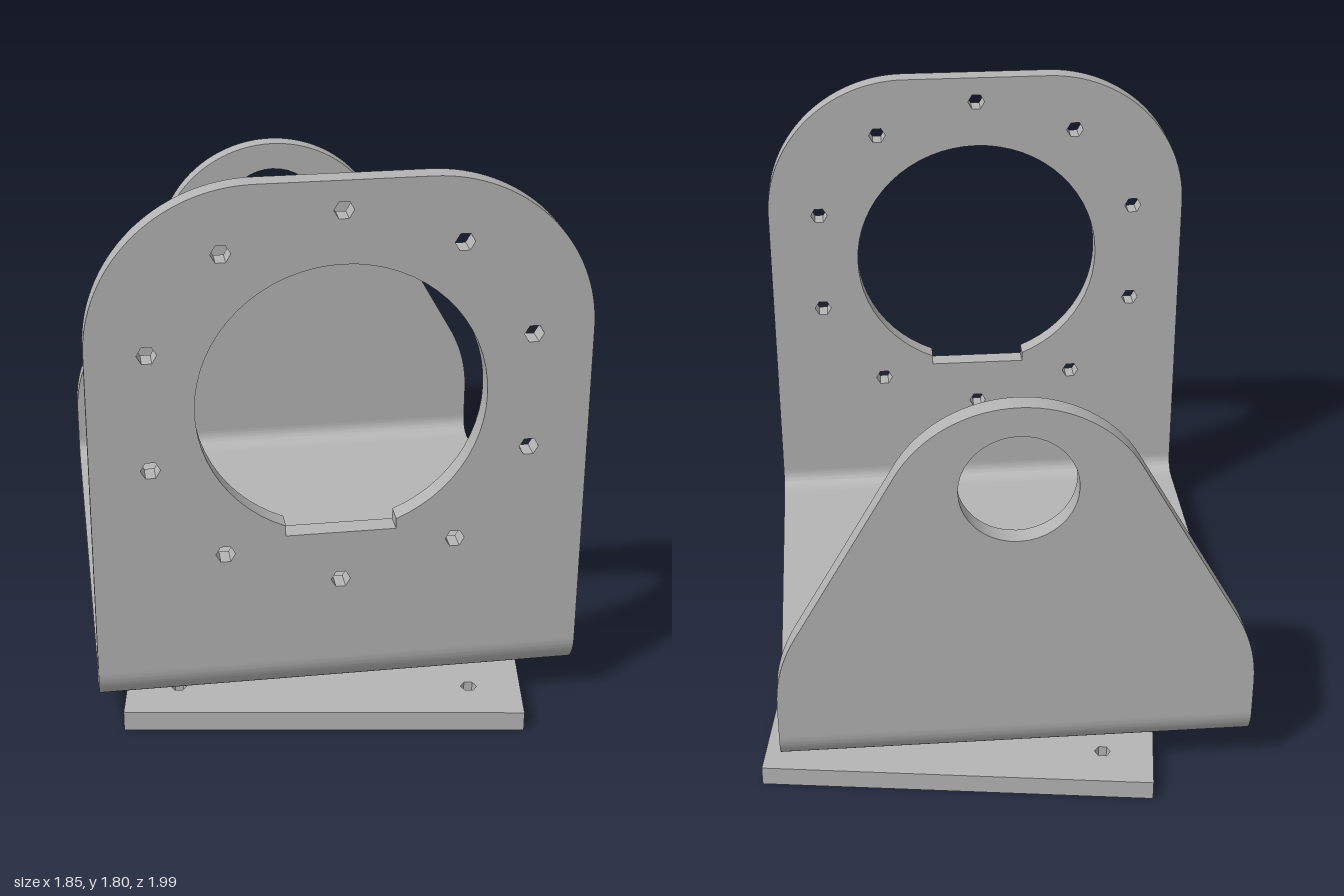
import * as THREE from 'three';
import { toCreasedNormals } from 'three/addons/utils/BufferGeometryUtils.js';

const W = 1.516, D = 1.70, T = 0.065;      // bracket width, depth, sheet thickness
const FLOOR = 0.095, R_OUT = 0.125, R_IN = R_OUT - T;
const BEND_TOP = FLOOR + R_OUT;

const metal = new THREE.MeshStandardMaterial({ color: 0xb4b4b4 });
metal.name = 'grey metal';

// Polygonal hole, centred at x, y
function hole(x, y, r, sides) {
  const pts = [];
  for (let i = 0; i < sides; i++) {
    const a = (i / sides) * Math.PI * 2;
    pts.push(new THREE.Vector2(x + r * Math.cos(a), y + r * Math.sin(a)));
  }
  return new THREE.Path(pts);
}

function extrude(shape, depth) {
  return new THREE.ExtrudeGeometry(shape, { depth, bevelEnabled: false, curveSegments: 16 });
}

function addPart(parent, name, geo) {
  const mesh = new THREE.Mesh(toCreasedNormals(geo, 0.5), metal);
  mesh.name = name;
  parent.add(mesh);
  return mesh;
}

// Horizontal rectangle lying flat, extruded upward
function slabShape(w, d) {
  return new THREE.Shape([[-1, -1], [1, -1], [1, 1], [-1, 1]]
    .map(([x, y]) => new THREE.Vector2(x * w / 2, y * d / 2)));
}
function slab(shape, y, h) {
  return extrude(shape, h).rotateX(-Math.PI / 2).translate(0, y, 0);
}

// Tall front plate: rounded top, large notched bore, ring of bolt holes
function frontPlateGeometry() {
  const h = W / 2, top = 1.8, r = 0.5, cy = 1.105, bore = 0.44, notch = 0.17;
  const s = new THREE.Shape();
  s.moveTo(-h, BEND_TOP);
  s.lineTo(h, BEND_TOP);
  s.lineTo(h, top - r);
  s.absarc(h - r, top - r, r, 0, Math.PI / 2, false);
  s.lineTo(-h + r, top);
  s.absarc(-h + r, top - r, r, Math.PI / 2, Math.PI, false);
  s.closePath();

  const a0 = Math.asin(notch / bore), pts = [];
  for (let i = 0; i <= 56; i++) {
    const a = -Math.PI / 2 + a0 + (i / 56) * (Math.PI * 2 - 2 * a0);
    pts.push(new THREE.Vector2(bore * Math.cos(a), cy + bore * Math.sin(a)));
  }
  pts.push(new THREE.Vector2(-notch, cy - bore), new THREE.Vector2(notch, cy - bore));
  s.holes.push(new THREE.Path(pts));

  for (let i = 0; i < 10; i++) {
    const a = Math.PI / 2 + (i / 10) * Math.PI * 2;
    s.holes.push(hole(0.605 * Math.cos(a), cy + 0.605 * Math.sin(a), 0.03, 6));
  }
  return extrude(s, T).translate(0, 0, D / 2 - T);
}

// Tapered back plate with a single eye
function backPlateGeometry() {
  const h = W / 2, cy = 0.955, r = 0.425, a = Math.atan2(0.492, 0.871);
  const s = new THREE.Shape();
  s.moveTo(-h, BEND_TOP);
  s.lineTo(h, BEND_TOP);
  s.lineTo(h, 0.34);
  s.quadraticCurveTo(h, 0.477, h - 0.067, 0.596);
  s.absarc(0, cy, r, a, Math.PI - a, false);
  s.lineTo(-h + 0.067, 0.596);
  s.quadraticCurveTo(-h, 0.477, -h, 0.34);
  s.closePath();
  s.holes.push(hole(0, 1.1, 0.183, 40));
  return extrude(s, T).translate(0, 0, -D / 2);
}

// Quarter-round bend joining floor and upright, running across the width
function bendGeometry() {
  const z = D / 2 - R_OUT, y = BEND_TOP;
  const s = new THREE.Shape();
  s.absarc(z, y, R_OUT, -Math.PI / 2, 0, false);
  s.absarc(z, y, R_IN, 0, -Math.PI / 2, true);
  s.closePath();
  return extrude(s, W).rotateY(-Math.PI / 2).translate(W / 2, 0, 0);
}

export function createModel() {
  const model = new THREE.Group();
  model.name = 'swivelBracket';

  // Folded bracket, turned on its swivel
  const bracket = new THREE.Group();
  bracket.name = 'foldedBracket';
  bracket.rotation.y = 0.219;
  model.add(bracket);

  const floor = slabShape(W, D - 2 * R_OUT);
  for (const [x, z] of [[-0.163, -0.098], [-0.151, 0.079], [0.15, 0.085]]) {
    floor.holes.push(hole(x, -z, 0.015, 4));
  }
  addPart(bracket, 'bracketFloor', slab(floor, FLOOR, T));
  addPart(bracket, 'frontBend', bendGeometry());
  addPart(bracket, 'backBend', bendGeometry()).rotation.y = Math.PI;
  addPart(bracket, 'frontPlate', frontPlateGeometry());
  addPart(bracket, 'backPlate', backPlateGeometry());

  // Base plate with central opening and mounting holes
  const base = slabShape(1.26, 1.845);
  base.holes.push(hole(0, 0, 0.24, 40));
  for (const x of [-0.465, 0.465]) {
    for (const z of [-0.775, -0.41, 0.41, 0.775]) base.holes.push(hole(x, -z, 0.026, 6));
  }
  base.holes.push(hole(-0.227, -0.27, 0.012, 4), hole(0.139, 0.35, 0.012, 4));
  const basePlate = addPart(model, 'basePlate', slab(base, 0, T));
  basePlate.position.x = 0.07;
  basePlate.rotation.y = 0.077;

  // Swivel collar between base plate and bracket
  const collar = new THREE.Shape(hole(0, 0, 0.26, 40).getPoints());
  collar.holes.push(hole(0, 0, 0.18, 32));
  addPart(model, 'swivelCollar', slab(collar, T, FLOOR - T));

  return model;
}
